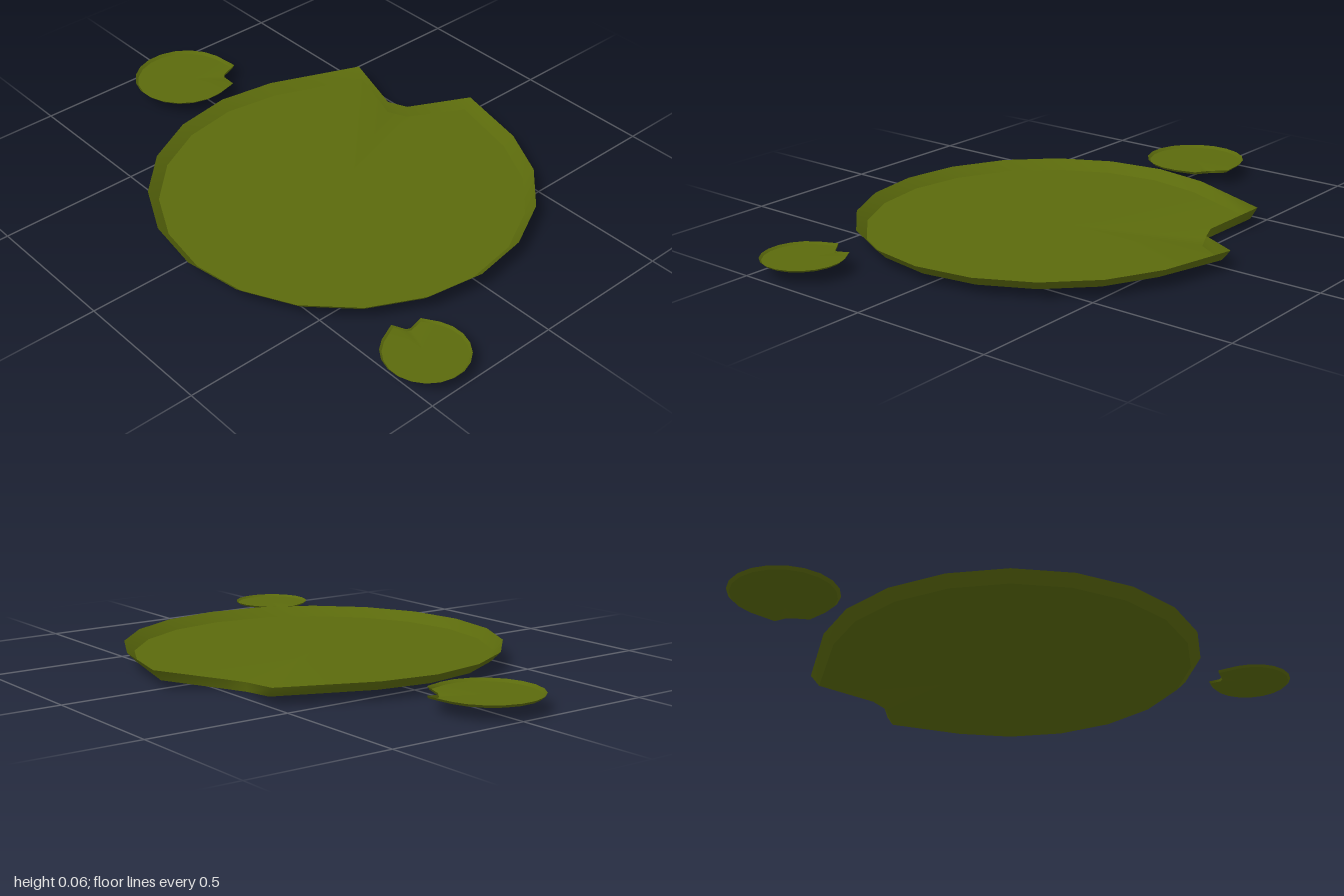
import * as THREE from 'three';

const SIDES = 20;
// The four outline corners that form the notch: [rim x, y, z, floor x, y, z]
const NOTCH = {
  2: [0.525, 0.035, -0.495, 0.515, 0, -0.465],
  3: [0.475, 0.005, -0.28, 0.465, -0.03, -0.27],
  4: [0.505, 0.005, -0.21, 0.495, -0.03, -0.202],
  5: [0.69, 0.035, -0.07, 0.66, -0.003, -0.066],
};

function surface(points, index) {
  const geometry = new THREE.BufferGeometry();
  geometry.setAttribute('position', new THREE.Float32BufferAttribute(points, 3));
  geometry.setIndex(index);
  geometry.computeVertexNormals();
  return geometry;
}

function makePad(name, material) {
  const rim = [], floor = [];
  for (let i = 0; i < SIDES; i++) {
    const a = (i / SIDES) * Math.PI * 2;
    const s = Math.sin(a), c = -Math.cos(a);
    const p = NOTCH[i] || [0.66 * s, 0.035, 0.66 * c, 0.625 * s, 0, 0.625 * c];
    rim.push(...p.slice(0, 3));
    floor.push(...p.slice(3));
  }
  const fan = [], band = [];
  for (let i = 0; i < SIDES; i++) {
    const j = (i + 1) % SIDES;
    fan.push(0, j + 1, i + 1);
    band.push(i, SIDES + j, j, i, SIDES + i, SIDES + j);
  }
  const pad = new THREE.Group();
  pad.name = name;

  // Flat leaf floor, dipping towards the notch
  const leaf = new THREE.Mesh(surface([0, 0, 0, ...floor], fan), material);
  leaf.name = 'leafFloor';

  // Flared raised edge
  const edge = new THREE.Mesh(surface([...rim, ...floor], band), material);
  edge.name = 'leafRim';

  pad.add(leaf, edge);
  return pad;
}

export function createModel() {
  const model = new THREE.Group();
  model.name = 'lilyPads';
  const green = new THREE.MeshStandardMaterial({ color: 0x5b6a0c, side: THREE.DoubleSide });

  // name, position, scale, turn in degrees
  const pads = [
    ['largePad', [-0.02, 0.03, 0.07], 1, 0],
    ['mediumPad', [-0.02, 0.046, -0.82], 0.276, -62],
    ['smallPad', [-0.39, 0.044, 0.857], 0.212, 46],
  ];
  for (const [name, position, scale, turn] of pads) {
    const pad = makePad(name, green);
    pad.position.set(...position);
    pad.scale.setScalar(scale);
    pad.rotation.y = THREE.MathUtils.degToRad(turn);
    model.add(pad);
  }
  return model;
}
